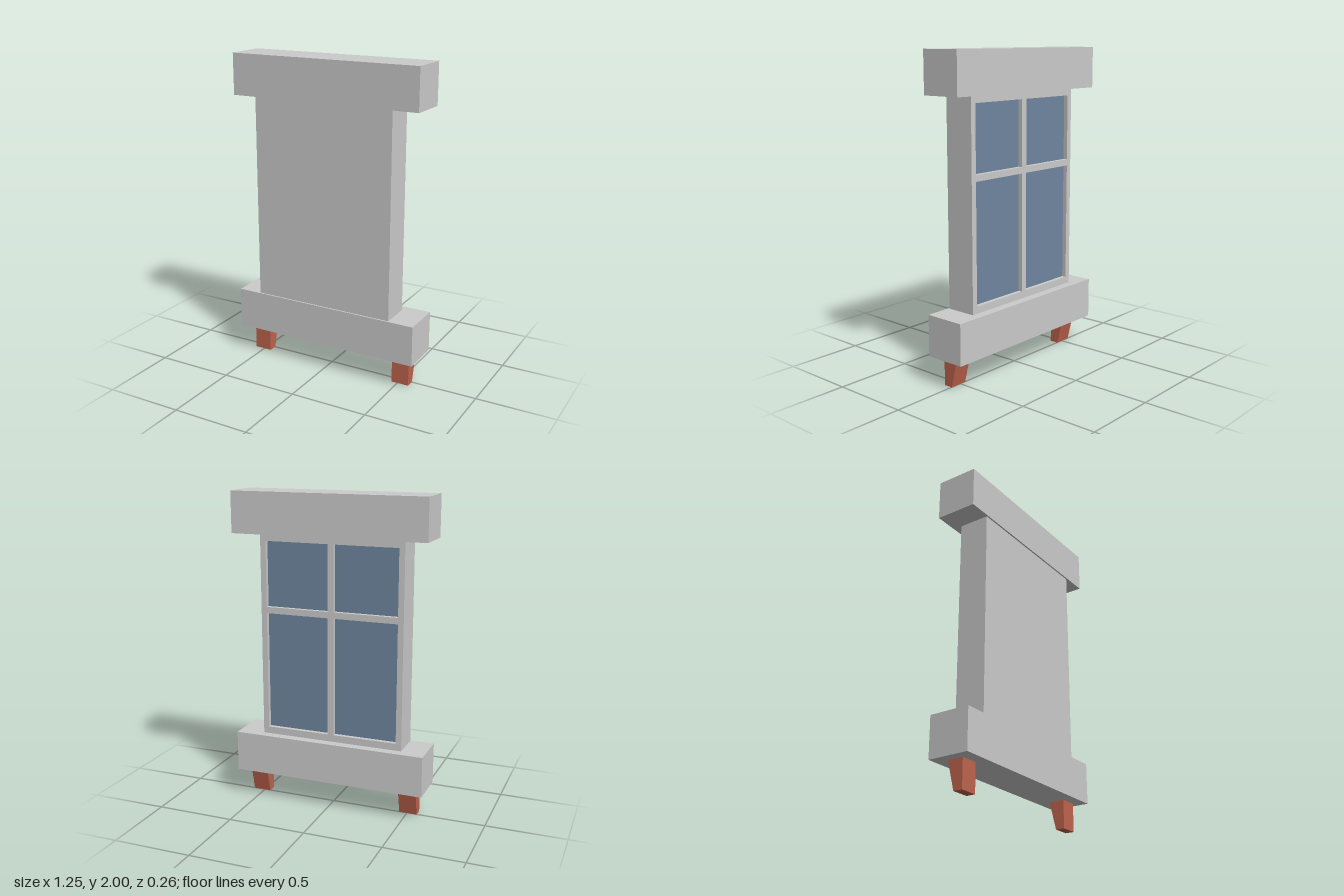
import * as THREE from 'three';

const grey = new THREE.MeshStandardMaterial({ color: 0xcccccc, flatShading: true });
const brick = new THREE.MeshStandardMaterial({ color: 0xc0644e, flatShading: true });
const glass = new THREE.MeshStandardMaterial({ color: 0x6f86a0 });

// Box given by its lower and upper corners
function box(name, [x0, y0, z0], [x1, y1, z1], material) {
  const geometry = new THREE.BoxGeometry(x1 - x0, y1 - y0, z1 - z0);
  geometry.translate((x0 + x1) / 2, (y0 + y1) / 2, (z0 + z1) / 2);
  const mesh = new THREE.Mesh(geometry, material);
  mesh.name = name;
  return mesh;
}

// Rectangle outline for shapes and holes
function rect(Type, x0, y0, x1, y1) {
  return new Type([[x0, y0], [x1, y0], [x1, y1], [x0, y1]].map(p => new THREE.Vector2(...p)));
}

export function createModel() {
  const group = new THREE.Group();
  group.name = 'window';

  const left = 0.46, right = -0.475, bottom = 0.44, top = 1.74;
  const back = -0.075, recess = 0.03, border = 0.036, bar = 0.04;
  const middle = (left + right) / 2, crossbar = 1.26;

  // Lintel, sill and the plain front panel
  group.add(box('lintel', [-0.627, top, -0.132], [0.627, 2, 0.132], grey));
  group.add(box('sill', [-0.627, 0.18, -0.132], [0.627, bottom, 0.132], grey));
  group.add(box('frontPanel', [right, bottom, back + recess], [left, top, 0.122], grey));

  // Rear frame with four openings, each filled by a recessed pane
  const outline = rect(THREE.Shape, right, bottom, left, top);
  const columns = [[right + border, middle - bar / 2], [middle + bar / 2, left - border]];
  const rows = [[bottom + 0.045, crossbar - bar / 2], [crossbar + bar / 2, top - 0.045]];
  for (const [x0, x1] of columns) {
    for (const [y0, y1] of rows) {
      outline.holes.push(rect(THREE.Path, x0, y0, x1, y1));
      const pane = new THREE.Mesh(new THREE.PlaneGeometry(x1 - x0, y1 - y0), glass);
      pane.rotation.y = Math.PI;
      pane.position.set((x0 + x1) / 2, (y0 + y1) / 2, back + recess - 0.002);
      pane.name = 'windowPane';
      group.add(pane);
    }
  }
  const frame = new THREE.Mesh(
    new THREE.ExtrudeGeometry(outline, { depth: recess, bevelEnabled: false }), grey);
  frame.position.z = back;
  frame.name = 'windowFrame';
  group.add(frame);

  // Brackets under the sill: upright front, back edge tapering forward to the foot
  for (const [name, x0, x1] of [['rightBracket', -0.565, -0.45], ['leftBracket', 0.46, 0.575]]) {
    const bracket = box(name, [x0, 0, -0.047], [x1, 0.18, 0.055], brick);
    const p = bracket.geometry.attributes.position;
    for (let i = 0; i < p.count; i++) {
      if (p.getY(i) < 0.09 && p.getZ(i) < 0) p.setZ(i, -0.003);
    }
    bracket.geometry.computeVertexNormals();
    group.add(bracket);
  }

  return group;
}
